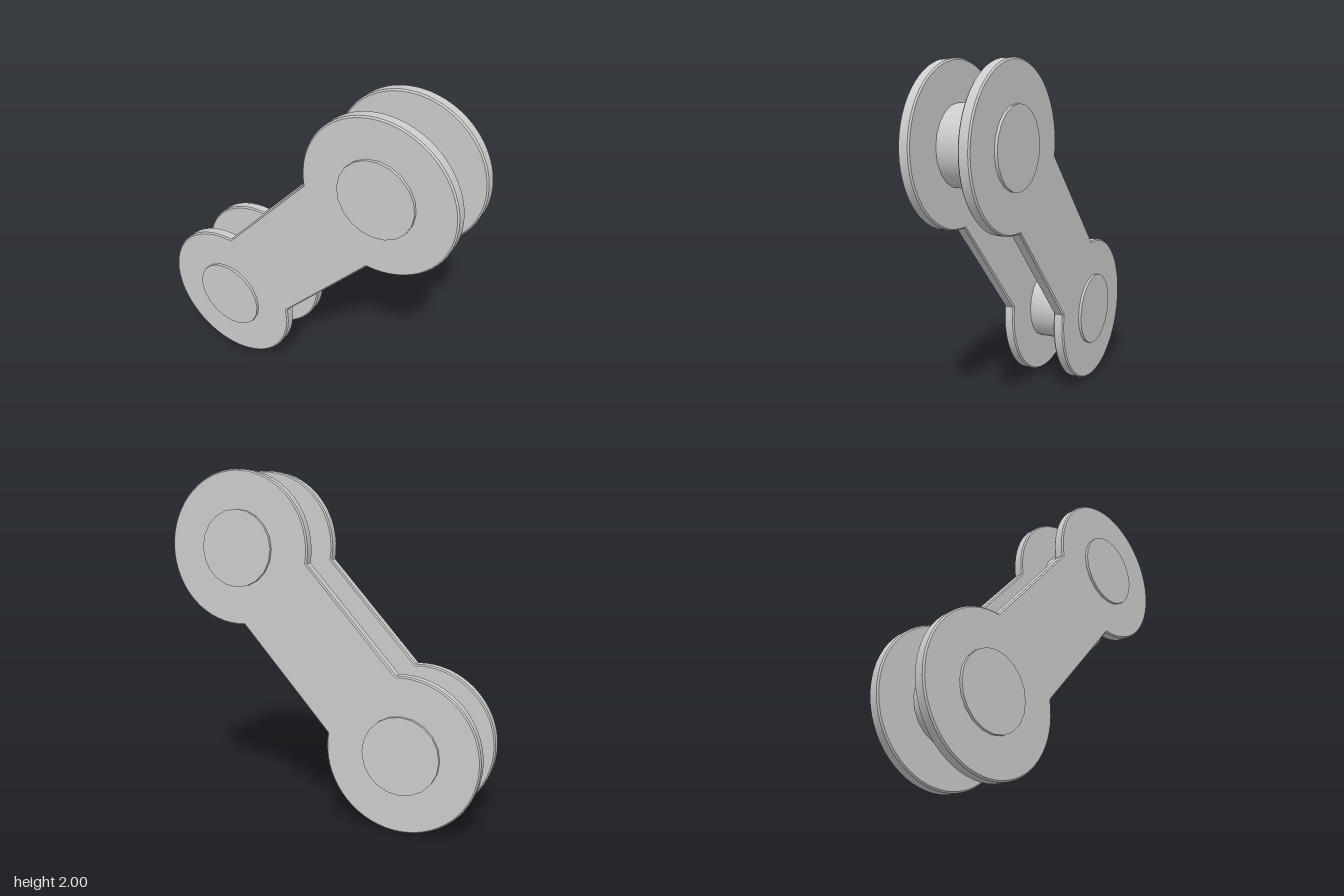
import * as THREE from 'three';
import { toCreasedNormals } from 'three/addons/utils/BufferGeometryUtils.js';

const EYE_X = 0.505, EYE_Y = 0.553; // pin centres, mirrored about the link's middle
const MID_Y = 1.0, EYE_R = 0.446;
const PLATE_Z = 0.168, PLATE_T = 0.066;
const PIN_R = 0.223, PIN_LENGTH = 0.435;

// Two round eyes joined by a straight diagonal bar
function plateGeometry() {
  const start = -1.65, end = 3.31;
  const shape = new THREE.Shape();
  shape.absarc(EYE_X, EYE_Y, EYE_R, start, end, false);
  shape.absarc(-EYE_X, -EYE_Y, EYE_R, start + Math.PI, end + Math.PI, false);
  shape.closePath();
  const bevel = 0.008;
  const geometry = new THREE.ExtrudeGeometry(shape, {
    depth: PLATE_T - 2 * bevel,
    curveSegments: 24,
    bevelThickness: bevel,
    bevelSize: bevel,
    bevelOffset: -bevel,
    bevelSegments: 1,
  });
  geometry.translate(0, 0, bevel - PLATE_T / 2);
  return toCreasedNormals(geometry, 0.6);
}

export function createModel() {
  const group = new THREE.Group();
  group.name = 'chainLink';
  const material = new THREE.MeshStandardMaterial({ color: 0xcccccc });

  // Front and back side plates
  const plate = plateGeometry();
  for (const side of [1, -1]) {
    const mesh = new THREE.Mesh(plate, material);
    mesh.name = side > 0 ? 'frontPlate' : 'backPlate';
    mesh.position.set(0, MID_Y, side * PLATE_Z);
    group.add(mesh);
  }

  // Pins through both plates, standing slightly proud
  const pin = new THREE.CylinderGeometry(PIN_R, PIN_R, PIN_LENGTH, 20);
  pin.rotateX(Math.PI / 2);
  for (const side of [1, -1]) {
    const mesh = new THREE.Mesh(pin, material);
    mesh.name = side > 0 ? 'upperPin' : 'lowerPin';
    mesh.position.set(side * EYE_X, MID_Y + side * EYE_Y, 0);
    group.add(mesh);
  }
  return group;
}
